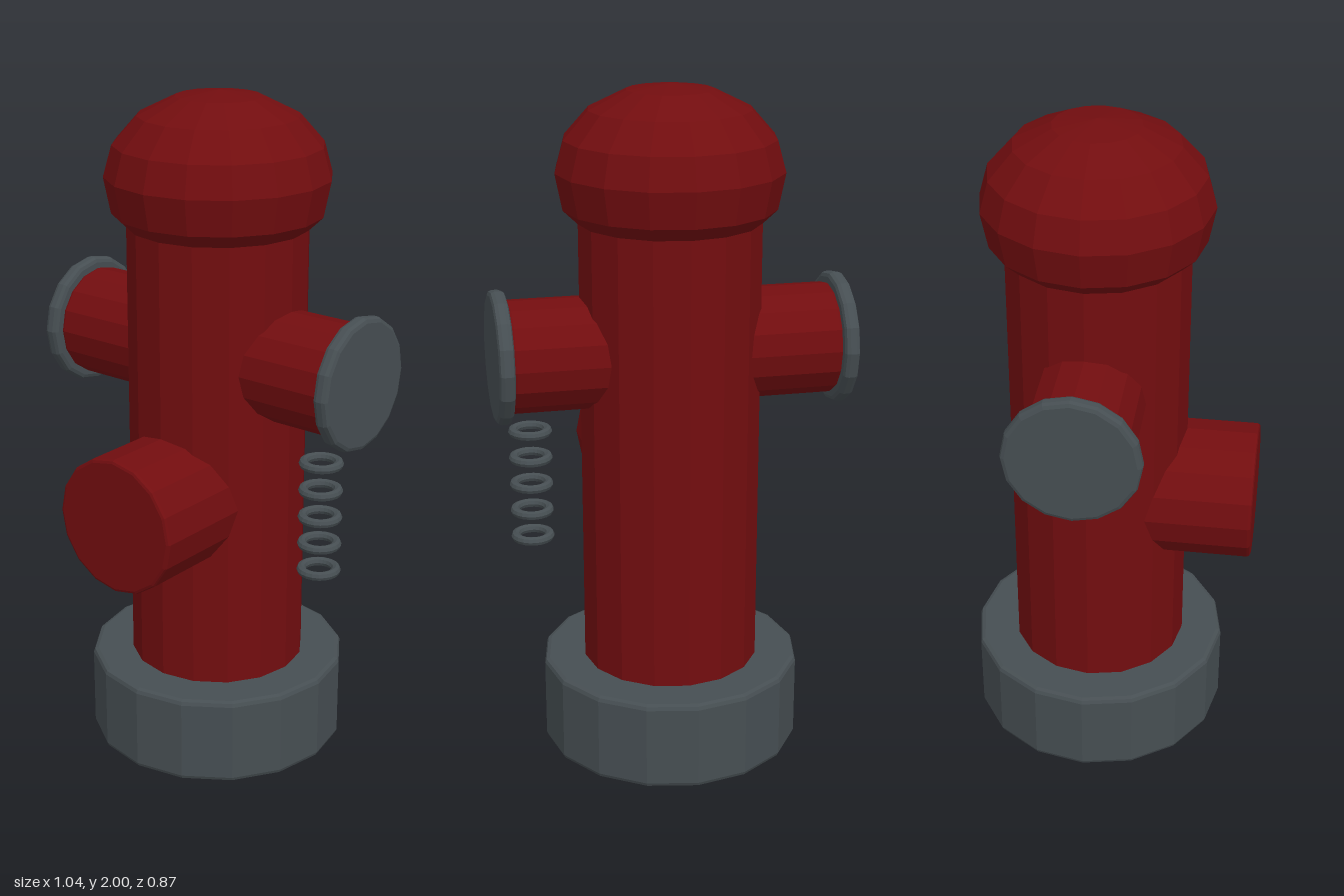
import * as THREE from 'three';

const SIDES = 16;
const AXIS_Z = -0.04;

export function createModel() {
  const red = new THREE.MeshStandardMaterial({ color: 0x720d0f, flatShading: true });
  red.name = 'hydrant red';
  const grey = new THREE.MeshStandardMaterial({ color: 0x464e52, flatShading: true });
  grey.name = 'iron grey';

  const model = new THREE.Group();
  model.name = 'fireHydrant';

  function add(name, geometry, material, parent = model) {
    const mesh = new THREE.Mesh(geometry, material);
    mesh.name = name;
    parent.add(mesh);
    return mesh;
  }

  // Faceted solid turned around y, from [radius, height] pairs, bottom to top
  const turned = (profile) =>
    new THREE.LatheGeometry(profile.map(([r, y]) => new THREE.Vector2(r, y)), SIDES);

  // Closed cylinder with bevelled rims
  const bevelled = (r, y0, y1, b) => turned([
    [0, y0], [r - b, y0], [r - b * 0.3, y0 + b * 0.3], [r, y0 + b],
    [r, y1 - b], [r - b * 0.3, y1 - b * 0.3], [r - b, y1], [0, y1],
  ]);

  // Upright column: base, barrel and domed cap
  const column = new THREE.Group();
  column.name = 'column';
  column.position.z = AXIS_Z;
  model.add(column);
  add('base', bevelled(0.39, 0, 0.27, 0.015), grey, column);
  add('barrel', bevelled(0.265, 0.2, 1.7, 0.01), red, column);
  add('domeCap', turned([
    [0, 1.615], [0.265, 1.615], [0.307, 1.655], [0.328, 1.76],
    [0.303, 1.85], [0.232, 1.93], [0.124, 1.983], [0, 2],
  ]), red, column);

  // Side outlets with flanged caps
  for (const side of [1, -1]) {
    const outlet = new THREE.Group();
    outlet.name = side > 0 ? 'leftOutlet' : 'rightOutlet';
    outlet.position.set(0, 1.24, AXIS_Z);
    outlet.rotation.z = -side * Math.PI / 2;
    model.add(outlet);
    add('outletPipe', bevelled(0.164, 0.1, 0.48, 0.012), red, outlet);
    add('outletCap', bevelled(0.194, 0.475, 0.52, 0.014), grey, outlet);
  }

  // Large front outlet
  const front = add('frontOutlet', bevelled(0.204, 0, 0.435, 0.01), red);
  front.position.y = 0.83;
  front.rotation.x = Math.PI / 2;

  // Hanging chain of separate flat rings
  const ring = new THREE.TorusGeometry(0.051, 0.0135, 8, 20).rotateX(Math.PI / 2);
  for (let i = 0; i < 5; i++) {
    add('chainRing' + (i + 1), ring, grey).position.set(0.41, 0.995 - i * 0.083, 0.005);
  }

  return model;
}
